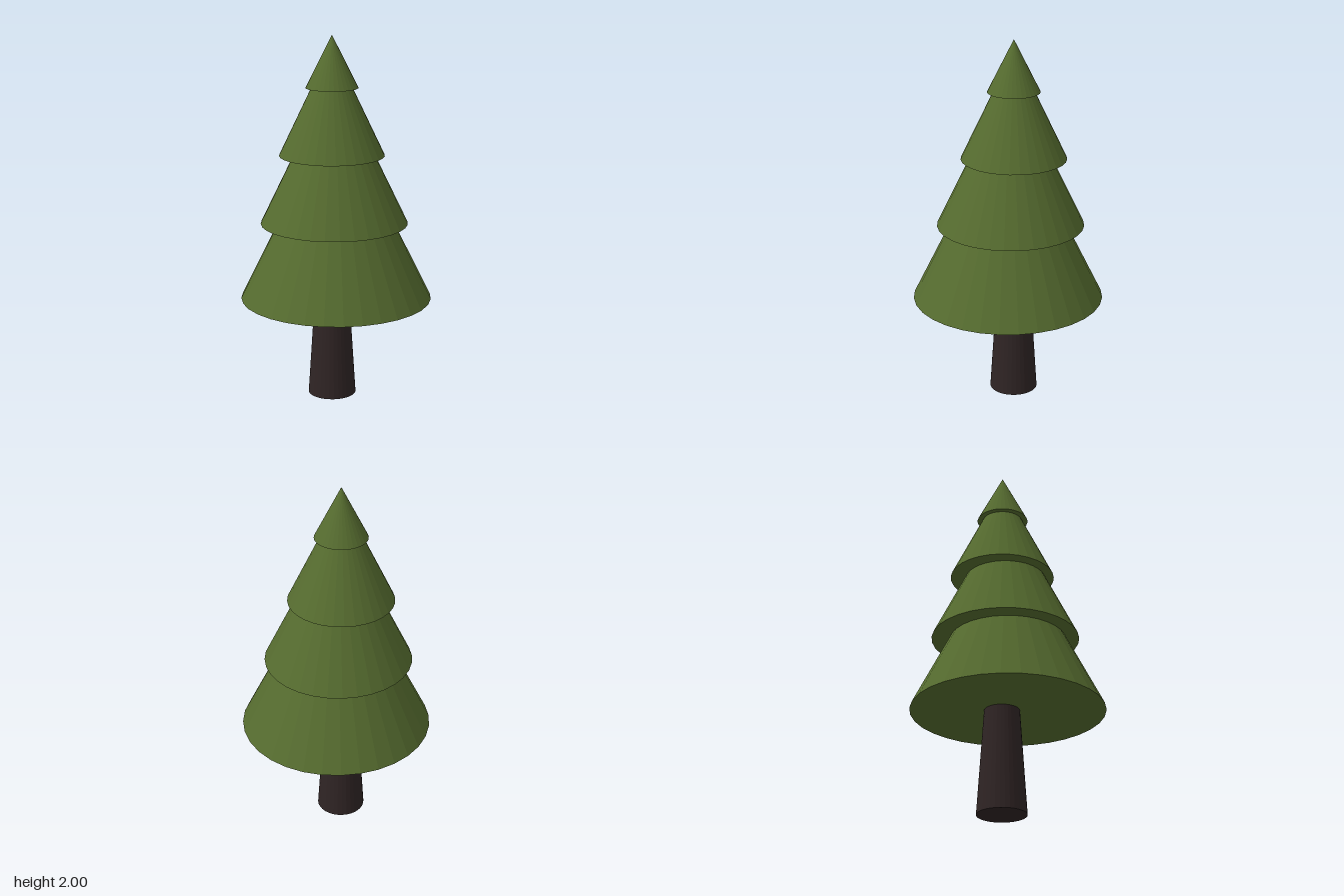
import * as THREE from 'three';

const SIDES = 32;

export function createModel() {
  const tree = new THREE.Group();
  tree.name = 'pineTree';

  const foliage = new THREE.MeshStandardMaterial({ color: 0x556b2f, flatShading: true });
  foliage.name = 'foliageGreen';
  const bark = new THREE.MeshStandardMaterial({ color: 0x2f2424, flatShading: true });
  bark.name = 'barkBrown';

  // Tapered trunk, reaching slightly into the lowest tier
  const trunk = new THREE.Mesh(new THREE.CylinderGeometry(0.093, 0.132, 0.6, SIDES), bark);
  trunk.name = 'trunk';
  trunk.position.set(-0.036, 0.3, 0);
  tree.add(trunk);

  // Stacked cones, from the bottom up: [centre x, base y, tip y, radius]
  const tiers = [
    [0, 0.57, 1.62, 0.521],
    [-0.016, 0.985, 1.81, 0.4],
    [-0.036, 1.355, 1.95, 0.285],
    [-0.035, 1.72, 2, 0.141],
  ];
  tiers.forEach(([x, base, tip, radius], i) => {
    const tier = new THREE.Mesh(new THREE.ConeGeometry(radius, tip - base, SIDES), foliage);
    tier.name = `foliageTier${i + 1}`;
    tier.position.set(x, (base + tip) / 2, 0);
    tree.add(tier);
  });

  return tree;
}
